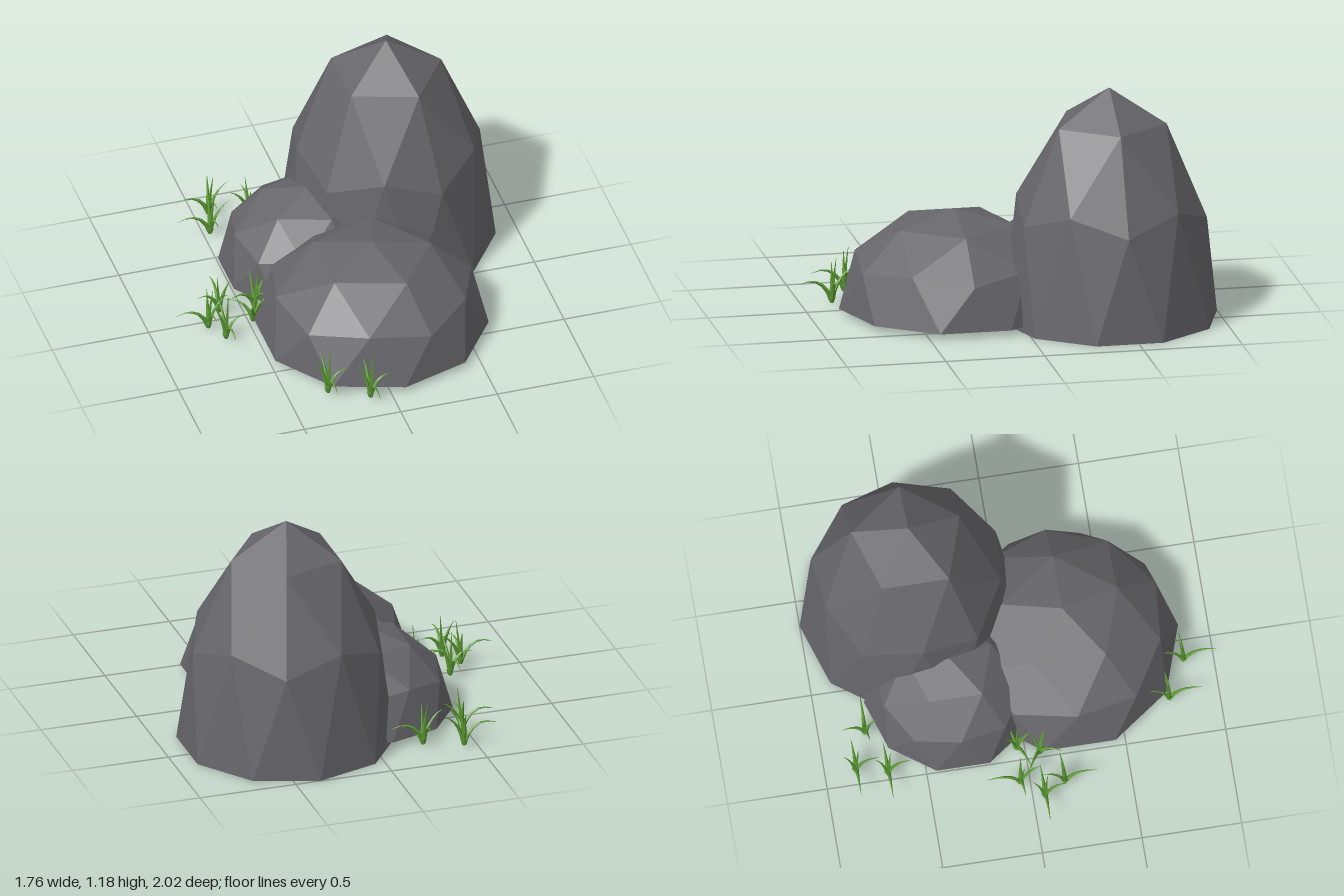
import * as THREE from 'three';
import { mergeGeometries } from 'three/addons/utils/BufferGeometryUtils.js';

const stone = new THREE.MeshStandardMaterial({ color: 0x66666b, flatShading: true, side: THREE.DoubleSide });
const green = new THREE.MeshStandardMaterial({ color: 0x5c9a33, flatShading: true, side: THREE.DoubleSide });

// Open half icosphere with a vertex at the top, stretched to the given height
function rock(name, x, y, z, radius, height) {
  const ball = new THREE.IcosahedronGeometry(1, 1);
  ball.rotateZ(-Math.atan(2 / (1 + Math.sqrt(5))));
  const p = ball.attributes.position;
  const kept = [];
  for (let i = 0; i < p.count; i += 3) {
    if (p.getY(i) + p.getY(i + 1) + p.getY(i + 2) < 0.01) continue;
    for (let k = i; k < i + 3; k++) kept.push(p.getX(k), p.getY(k), p.getZ(k));
  }
  const geo = new THREE.BufferGeometry();
  geo.setAttribute('position', new THREE.Float32BufferAttribute(kept, 3));
  geo.scale(radius, height, radius);
  geo.computeVertexNormals();
  const mesh = new THREE.Mesh(geo, stone);
  mesh.name = name;
  mesh.position.set(x, y, z);
  return mesh;
}

// Tapered blade bent outward along +x, then turned to its heading
function blade(heading, reach, rise, tip) {
  const curve = new THREE.QuadraticBezierCurve3(
    new THREE.Vector3(0, 0, 0),
    new THREE.Vector3(reach * 0.3, rise, 0),
    new THREE.Vector3(reach, tip, 0));
  const geo = new THREE.CylinderGeometry(0.001, 0.013, 1, 4, 5);
  geo.translate(0, 0.5, 0);
  const p = geo.attributes.position;
  for (let i = 0; i < p.count; i++) {
    const t = p.getY(i), c = curve.getPoint(t), d = curve.getTangent(t), off = p.getX(i);
    p.setXYZ(i, c.x + off * d.y, c.y - off * d.x, p.getZ(i));
  }
  geo.rotateY(heading);
  return geo;
}

// One tuft: [heading offset in degrees, reach, control height, tip height]
const blades = [
  [0, 0.165, 0.14, 0.09],
  [95, 0.115, 0.13, 0.1],
  [185, 0.105, 0.13, 0.16],
  [260, 0.06, 0.12, 0.18],
  [140, 0.025, 0.1, 0.22],
];

function tuftGeometry() {
  const parts = blades.map(([a, r, h, t]) => blade(THREE.MathUtils.degToRad(a), r, h, t));
  const root = new THREE.CylinderGeometry(0.02, 0.011, 0.03, 6);
  root.translate(0, 0.005, 0);
  return mergeGeometries([...parts, root]);
}

export function createModel() {
  const model = new THREE.Group();
  model.name = 'rocksWithGrass';
  model.add(
    rock('tallRock', 0.37, 0, -0.455, 0.545, 1.18),
    rock('frontRock', 0.072, 0.03, 0.27, 0.581, 0.485),
    rock('backRock', -0.09, 0.03, -0.318, 0.432, 0.445));

  // Tufts around the rocks: x, z, heading of the longest blade in degrees
  const tufts = [
    [-0.43, -0.845, 180], [-0.47, -0.69, 180], [-0.24, -0.77, 0],
    [-0.62, -0.05, 90], [-0.71, 0.06, 180], [-0.65, 0.17, 270],
    [-0.48, 0.07, 150], [-0.44, -0.04, 200],
    [-0.3, 0.75, 270], [-0.11, 0.85, 270],
    [0.23, 0.12, 0], [0.45, 0.12, 180],
  ];
  const grass = new THREE.Group();
  grass.name = 'grass';
  const geo = tuftGeometry();
  for (const [x, z, a] of tufts) {
    const tuft = new THREE.Mesh(geo, green);
    tuft.name = 'grassTuft';
    tuft.position.set(x, 0.022, z);
    tuft.rotation.y = THREE.MathUtils.degToRad(a);
    grass.add(tuft);
  }
  model.add(grass);
  return model;
}
